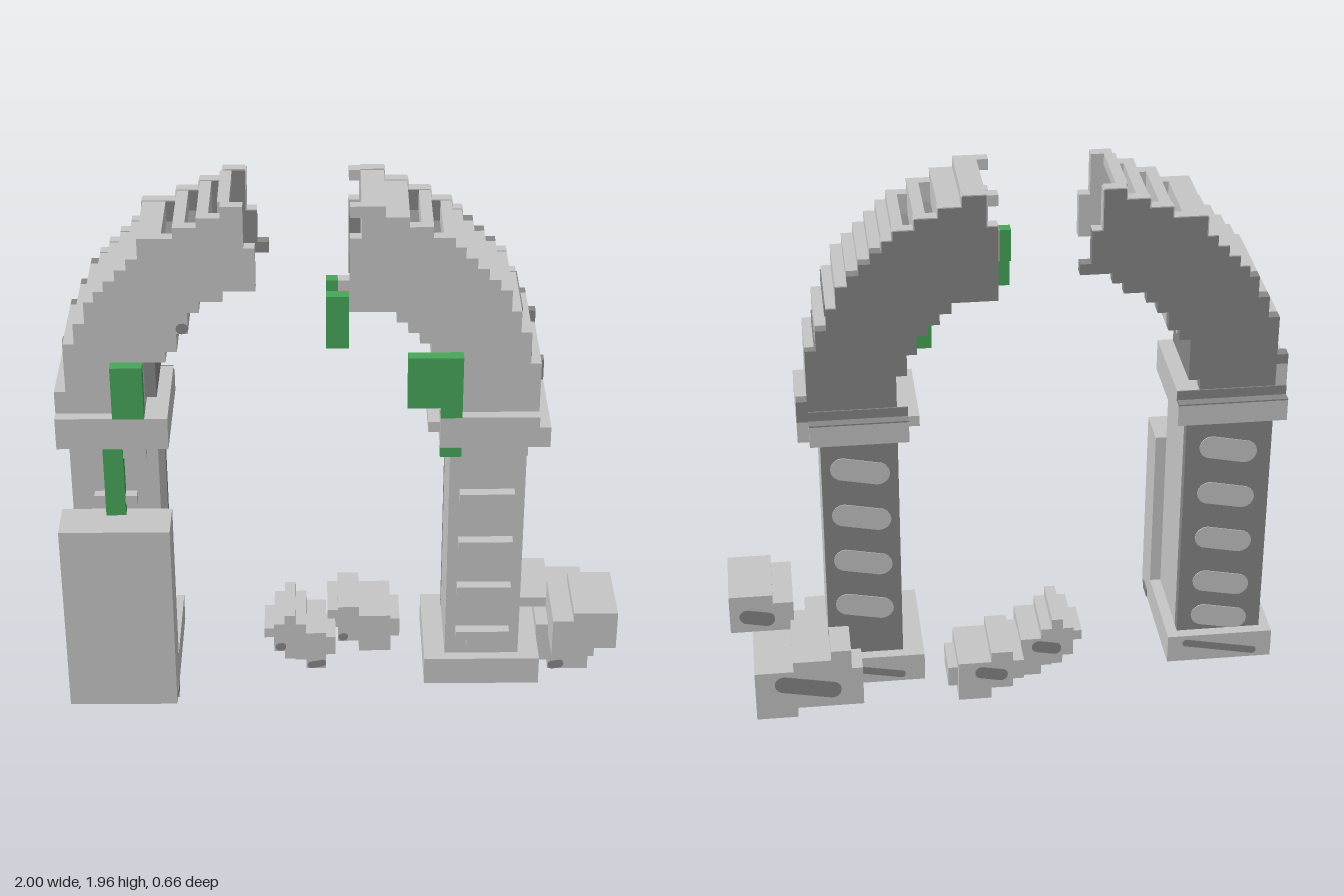
import * as THREE from 'three';

const mat = (name, color) => Object.assign(new THREE.MeshStandardMaterial({ color }), { name });

export function createModel() {
  const root = new THREE.Group();
  root.name = 'ruinedArch';
  const stone = mat('stone', 0xc6c6c6);
  const dark = mat('darkStone', 0x878787);
  const moss = mat('moss', 0x47a659);

  const add = (name, geo, m, parent = root) => {
    const mesh = new THREE.Mesh(geo, m);
    mesh.name = name;
    parent.add(mesh);
    return mesh;
  };
  // box given by its limits on each axis
  const box = (name, m, x0, x1, y0, y1, z0, z1, parent) => {
    const g = new THREE.BoxGeometry(x1 - x0, y1 - y0, z1 - z0);
    g.translate((x0 + x1) / 2, (y0 + y1) / 2, (z0 + z1) / 2);
    return add(name, g, m, parent);
  };
  // stepped slab from columns [x0, x1, low, high], extruded from z0 to z1
  const stepped = (name, m, cols, z0, z1, parent) => {
    const pts = [];
    cols.forEach(([a, b, , hi]) => pts.push(new THREE.Vector2(a, hi), new THREE.Vector2(b, hi)));
    [...cols].reverse().forEach(([a, b, lo]) => pts.push(new THREE.Vector2(b, lo), new THREE.Vector2(a, lo)));
    const clean = pts.filter((p, i) => i === 0 || p.distanceTo(pts[i - 1]) > 1e-4);
    const g = new THREE.ExtrudeGeometry(new THREE.Shape(clean), { depth: z1 - z0, bevelEnabled: false });
    g.translate(0, 0, z0);
    return add(name, g, m, parent);
  };
  // rounded patch lying on a front or back face at z
  const patch = (name, m, x, y, w, h, z, parent) => {
    const s = new THREE.Shape();
    const r = h / 2, k = w / 2 - r, tilt = k * 0.2;
    s.absarc(x + k, y + tilt, r, -Math.PI / 2, Math.PI / 2);
    s.absarc(x - k, y - tilt, r, Math.PI / 2, Math.PI * 1.5);
    const g = new THREE.ExtrudeGeometry(s, { depth: 0.006, bevelEnabled: false, curveSegments: 4 });
    g.translate(0, 0, z - 0.003);
    return add(name, g, m, parent);
  };

  // arch half: front wall, dark back wall with thin facings, notched core between them
  const arch = (name, cols, gaps, coreRange, lowered, darkTreads) => {
    const g = new THREE.Group();
    g.name = name;
    root.add(g);
    stepped('frontWall', stone, cols, 0.13, 0.172, g);
    const back = cols.map(([a, b, lo, hi], i) => [a, b, lo - (lowered.includes(i) ? 0.038 : 0), hi]);
    stepped('backWall', dark, back, -0.172, -0.13, g);
    back.forEach(([a, b, , hi], i) => {
      if (!darkTreads.includes(i)) box('tread', stone, a, b, hi, hi + 0.004, -0.172, -0.13, g);
      if (hi < 1.775) return;
      // pale risers on the upper steps
      const prev = i > 0 ? back[i - 1][3] : hi, next = i < back.length - 1 ? back[i + 1][3] : hi;
      if (next < hi) box('riser', stone, b, b + 0.004, next, hi, -0.172, -0.13, g);
      if (prev < hi) box('riser', stone, a - 0.004, a, prev, hi, -0.172, -0.13, g);
    });
    const core = [];
    cols.forEach(([a, b, lo, hi]) => {
      if (a < coreRange[0] - 0.001 || b > coreRange[1] + 0.001) return;
      const gap = gaps.includes(a);
      core.push([a, b, lo, gap ? hi - 0.08 : hi]);
      if (gap) box('gapFloor', dark, a, b, hi - 0.08, hi - 0.075, -0.13, 0.13, g);
    });
    stepped('core', stone, core, -0.13, 0.13, g);
    return g;
  };

  const rightArch = arch('rightArch', [
    [-0.96, -0.92, 1.18, 1.45], [-0.92, -0.88, 1.18, 1.53], [-0.88, -0.845, 1.18, 1.61],
    [-0.845, -0.81, 1.18, 1.65], [-0.81, -0.77, 1.18, 1.69], [-0.77, -0.73, 1.18, 1.73],
    [-0.73, -0.69, 1.18, 1.77], [-0.69, -0.65, 1.38, 1.845], [-0.65, -0.61, 1.38, 1.845],
    [-0.61, -0.57, 1.42, 1.845], [-0.57, -0.53, 1.49, 1.885], [-0.53, -0.49, 1.57, 1.885],
    [-0.49, -0.45, 1.61, 1.92], [-0.45, -0.41, 1.61, 1.92], [-0.41, -0.37, 1.65, 1.96],
    [-0.37, -0.335, 1.65, 1.96], [-0.335, -0.297, 1.65, 1.81],
  ], [-0.61, -0.53], [-0.96, -0.45], [11, 12, 13, 14], [0, 1, 2]);
  box('brokenRib', stone, -0.42, -0.38, 1.92, 1.96, -0.13, 0.13, rightArch);
  box('brokenLip', dark, -0.297, -0.258, 1.65, 1.69, -0.172, -0.13, rightArch);
  box('innerFoot', dark, -0.69, -0.65, 1.22, 1.38, -0.172, 0.13, rightArch);
  box('outerRail', stone, -1, -0.96, 1.18, 1.265, -0.172, 0.172, rightArch);
  box('outerRailTop', dark, -1, -0.96, 1.265, 1.302, -0.172, -0.13, rightArch);
  patch('chip', dark, -0.55, 1.51, 0.042, 0.04, 0.172, rightArch);

  const leftArch = arch('leftArch', [
    [0.02, 0.06, 1.57, 1.845], [0.06, 0.14, 1.57, 1.96], [0.14, 0.18, 1.57, 1.92],
    [0.18, 0.22, 1.53, 1.92], [0.22, 0.26, 1.49, 1.885], [0.26, 0.3, 1.45, 1.885],
    [0.3, 0.335, 1.38, 1.845], [0.335, 0.373, 1.3, 1.845], [0.373, 0.41, 1.18, 1.81],
    [0.41, 0.45, 1.18, 1.77], [0.45, 0.49, 1.18, 1.73], [0.49, 0.53, 1.18, 1.69],
    [0.53, 0.57, 1.18, 1.65], [0.57, 0.605, 1.18, 1.57], [0.605, 0.643, 1.18, 1.49],
  ], [0.22, 0.3], [0.06, 0.643], [], [9, 10, 11, 14]);
  for (const z of [-0.172, 0.13]) box('brokenTip', stone, 0.02, 0.06, 1.92, 1.96, z, z + 0.042, leftArch);
  box('outerPanel', stone, 0.643, 0.68, 1.18, 1.37, -0.14, 0.172, leftArch);
  box('outerPanelBack', dark, 0.643, 0.682, 1.18, 1.415, -0.172, -0.14, leftArch);
  box('panelGap', dark, 0.643, 0.647, 1.37, 1.415, -0.14, 0.14, leftArch);
  box('upperPanelGap', dark, 0.605, 0.609, 1.53, 1.57, -0.14, 0.14, leftArch);

  // pillars: stone shaft, dark back layer with pale patches, capital and base
  const pillar = (name, x0, x1, cap, base, patches) => {
    const g = new THREE.Group();
    g.name = name;
    root.add(g);
    box('shaft', stone, x0, x1, 0.155, 1.06, -0.13, 0.172, g);
    box('shaftBack', dark, x0, x1, 0.155, 1.06, -0.172, -0.13, g);
    patches.forEach(y => patch('stonePatch', stone, (x0 + x1) / 2, y, 0.21, 0.09, -0.172, g));
    box('capital', stone, cap[0], cap[1], 1.06, 1.18, -0.172, 0.212, g);
    box('capitalBack', stone, cap[0], cap[1], 1.06, 1.14, -0.212, -0.172, g);
    box('capitalBackTop', dark, cap[0], cap[1], 1.14, 1.145, -0.212, -0.172, g);
    box('capitalBackFace', dark, cap[0], cap[1], 1.145, 1.18, -0.177, -0.172, g);
    box('base', stone, base[0], base[1], 0.045, 0.155, -0.212, 0.212, g);
    box('baseUnderside', dark, base[0] + 0.03, base[1] - 0.03, 0.041, 0.045, -0.18, 0.18, g);
    patch('basePatch', dark, (base[0] + base[1]) / 2, 0.1, 0.28, 0.03, -0.212, g);
    return g;
  };

  const rp = pillar('rightPillar', -0.96, -0.65, [-1, -0.61], [-1, -0.61], [0.93, 0.74, 0.55, 0.36, 0.21]);
  box('frontBlock', stone, -1, -0.61, 0.045, 0.79, 0.172, 0.33, rp);
  box('blockUnderside', dark, -0.97, -0.64, 0.041, 0.045, 0.18, 0.3, rp);
  box('blockChip', dark, -0.61, -0.606, 0.045, 0.078, 0.22, 0.29, rp);
  box('neckMoulding', stone, -0.92, -0.69, 1.02, 1.06, 0.172, 0.208, rp);
  box('shaftLedge', stone, -0.88, -0.73, 0.83, 0.865, 0.172, 0.208, rp);

  const lp = pillar('leftPillar', 0.373, 0.643, [0.335, 0.68], [0.297, 0.72], [0.93, 0.74, 0.55, 0.36]);
  box('neckMoulding', stone, 0.41, 0.643, 1.025, 1.06, 0.172, 0.208, lp);
  for (const y of [0.83, 0.63, 0.435, 0.24]) box('shaftLedge', stone, 0.41, 0.605, y, y + 0.036, 0.172, 0.212, lp);
  box('lowLedge', stone, 0.45, 0.57, 0.2, 0.24, 0.172, 0.212, lp);
  box('innerRail', stone, 0.295, 0.335, 1.1, 1.14, -0.172, 0.172, lp);
  box('outerRail', stone, 0.68, 0.72, 1.06, 1.14, -0.172, 0.212, lp);
  box('outerRailTop', dark, 0.68, 0.72, 1.14, 1.22, -0.172, -0.13, lp);

  // moss patches hanging on the front: x0, x1, y0, y1, z0, z1
  [
    [-0.84, -0.77, 0.79, 1.06, 0.172, 0.216], [-0.8, -0.69, 1.18, 1.38, 0.172, 0.216],
    [-0.06, 0.018, 1.455, 1.65, 0.172, 0.216], [-0.06, -0.02, 1.65, 1.69, 0.13, 0.172],
    [-0.06, -0.02, 1.57, 1.65, 0.13, 0.172], [0.22, 0.41, 1.22, 1.415, 0.172, 0.216],
    [0.335, 0.41, 1.18, 1.22, 0.172, 0.216], [0.335, 0.41, 1.025, 1.06, 0.172, 0.216],
  ].forEach(b => box('moss', moss, ...b));
  box('mossSupport', stone, -0.02, 0.02, 1.57, 1.69, 0.13, 0.172);

  // fallen blocks beside the left pillar
  const rubble = new THREE.Group();
  rubble.name = 'rubble';
  root.add(rubble);
  box('fallenBlock', stone, 0.53, 0.92, 0.04, 0.2, -0.33, -0.212, rubble);
  box('fallenBlockSide', stone, 0.72, 0.92, 0.04, 0.2, -0.212, 0.06, rubble);
  box('fallenBlockFoot', stone, 0.77, 0.92, 0, 0.04, -0.33, 0.06, rubble);
  box('fallenBlockTop', stone, 0.57, 0.78, 0.2, 0.24, -0.33, -0.175, rubble);
  box('fallenBlockCrown', stone, 0.57, 0.643, 0.24, 0.278, -0.33, -0.175, rubble);
  box('fallenBlockStep', stone, 0.645, 0.78, 0.2, 0.24, -0.175, -0.06, rubble);
  patch('fallenBlockPatch', dark, 0.73, 0.13, 0.24, 0.07, -0.33, rubble);
  patch('footChip', dark, 0.8, 0.02, 0.06, 0.036, 0.06, rubble);
  stepped('looseBlock', stone, [[0.765, 0.84, 0.165, 0.32], [0.84, 0.92, 0.165, 0.355], [0.92, 1, 0.2, 0.355]], -0.06, 0.212, rubble);
  patch('looseBlockPatch', dark, 0.9, 0.26, 0.13, 0.06, -0.06, rubble);
  box('looseBlockChip', dark, 0.92, 0.924, 0.165, 0.2, 0.06, 0.13, rubble);

  // stepped rubble in the gateway
  const c = [[-0.297, -0.26, 0.12, 0.16], [-0.26, -0.22, 0.08, 0.2], [-0.22, -0.18, 0.045, 0.24],
    [-0.18, -0.14, 0.04, 0.2], [-0.14, -0.065, 0, 0.16], [-0.065, -0.03, 0.04, 0.12]];
  stepped('rubbleCore', stone, c, -0.135, 0.02, rubble);
  stepped('rubbleFront', stone, c.slice(1, 5), 0.02, 0.052, rubble);
  stepped('rubbleBack', stone, c.slice(1, 5), -0.172, -0.135, rubble);
  patch('rubblePatch', dark, -0.16, 0.12, 0.11, 0.05, -0.172, rubble);
  patch('rubbleChip', dark, -0.235, 0.1, 0.04, 0.034, 0.052, rubble);
  patch('rubbleChip', dark, -0.1, 0.02, 0.07, 0.03, 0.052, rubble);
  const d = [[-0.06, -0.02, 0.08, 0.16], [-0.02, 0.06, 0.045, 0.2], [0.06, 0.14, 0, 0.16], [0.14, 0.18, 0, 0.16], [0.18, 0.215, 0.04, 0.12]];
  stepped('rubbleCore', stone, d, -0.26, -0.1, rubble);
  stepped('rubbleFront', stone, d.slice(1, 4), -0.1, -0.06, rubble);
  stepped('rubbleBack', stone, d.slice(0, 4), -0.297, -0.26, rubble);
  patch('rubblePatch', dark, 0.06, 0.11, 0.12, 0.05, -0.297, rubble);
  patch('rubbleChip', dark, 0, 0.065, 0.036, 0.032, -0.06, rubble);

  return root;
}
